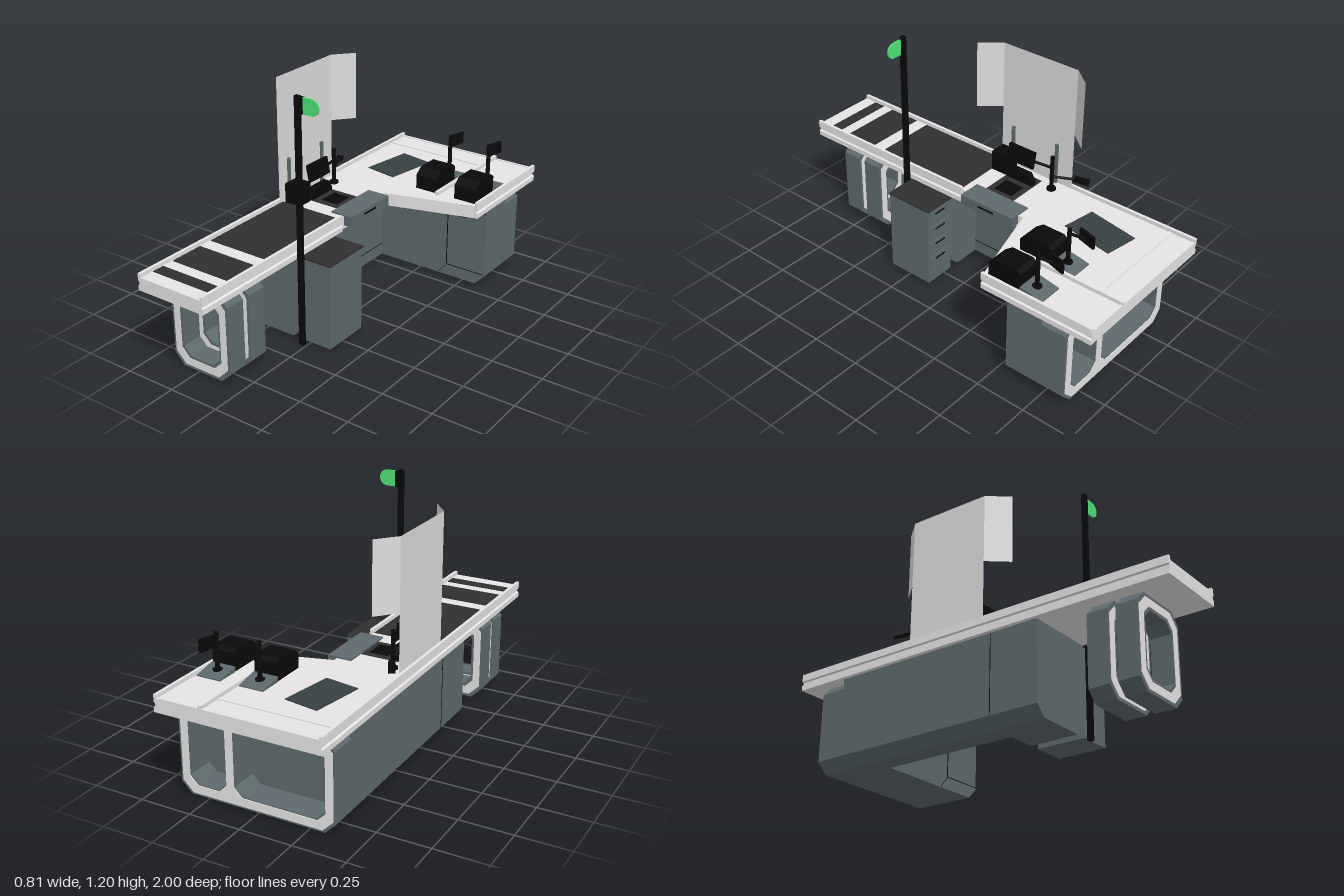
import * as THREE from 'three';

const mat = (name, color) => {
  const m = new THREE.MeshStandardMaterial({ color });
  m.name = name;
  return m;
};

export function createModel() {
  const model = new THREE.Group();
  model.name = 'checkoutCounter';
  const light = mat('lightGrey', 0xe6e4e4);
  const slate = mat('slate', 0x5d6a6d);
  const darkSlate = mat('darkSlate', 0x3a4447);
  const black = mat('black', 0x090909);
  const belt = mat('charcoal', 0x303030);
  const green = mat('green', 0x4fe277);
  const screenGrey = mat('screenGrey', 0xdcdcdc);
  screenGrey.side = THREE.DoubleSide;

  const add = (name, geo, m, parent = model) => {
    const mesh = new THREE.Mesh(geo, m);
    mesh.name = name;
    parent.add(mesh);
    return mesh;
  };
  // Box given by its limits on each axis
  const box = (name, m, x0, x1, y0, y1, z0, z1, parent) => {
    const b = add(name, new THREE.BoxGeometry(x1 - x0, y1 - y0, z1 - z0), m, parent);
    b.position.set((x0 + x1) / 2, (y0 + y1) / 2, (z0 + z1) / 2);
    return b;
  };
  // Round bar between two points
  const rod = (name, m, a, b, r, parent) => {
    const p = new THREE.Vector3(...a), d = new THREE.Vector3(...b).sub(p);
    const c = add(name, new THREE.CylinderGeometry(r, r, d.length(), 12), m, parent);
    c.position.copy(p).addScaledVector(d, 0.5);
    c.quaternion.setFromUnitVectors(new THREE.Vector3(0, 1, 0), d.normalize());
    return c;
  };
  const poly = pts => pts.map(p => new THREE.Vector2(...p));
  // Rectangle with cut corners: c at the bottom, t at the top
  const oct = (x0, x1, y0, y1, c, t = c) => {
    const pts = [[x0 + c, y0], [x1 - c, y0], [x1, y0 + c]];
    if (t) pts.push([x1, y1 - t], [x1 - t, y1], [x0 + t, y1], [x0, y1 - t]);
    else pts.push([x1, y1], [x0, y1]);
    pts.push([x0, y0 + c]);
    return poly(pts);
  };
  // Extrude an outline with holes along z
  const extrude = (pts, holes, z0, z1) => {
    const s = new THREE.Shape(pts);
    s.holes = holes.map(h => new THREE.Path(h));
    return new THREE.ExtrudeGeometry(s, { depth: z1 - z0, bevelEnabled: false }).translate(0, 0, z0);
  };

  // Counter top
  const top = extrude(poly([[-0.385, -1], [-0.05, -1], [-0.05, 0.305], [0.385, 0.43], [0.385, 1], [-0.385, 1]]), [], 0.437, 0.5);
  add('counterTop', top.rotateX(-Math.PI / 2), light);

  // Grooved side rails; s is the outward direction
  const rail = (name, x, s, z0, z1) => {
    const pts = [[0, 0.437], [0.015, 0.437], [0.015, 0.462], [0.007, 0.467], [0.007, 0.478], [0.015, 0.483], [0.015, 0.518], [0, 0.518]];
    const out = pts.map(([u, y]) => [x + s * u, y]);
    add(name, extrude(poly(s > 0 ? out : out.reverse()), [], z0, z1), light);
  };
  rail('leftRail', 0.385, 1, -1, -0.43);
  rail('rightRail', -0.385, -1, -1, 1);
  rail('conveyorRail', -0.052, 1, 0.05, 1);
  box('baggingDivider', light, 0.163, 0.18, 0.498, 0.518, -1, -0.43);
  box('baggingLip', light, -0.385, 0.163, 0.498, 0.504, -0.885, -0.868);
  box('backLip', light, -0.385, 0.385, 0.498, 0.504, -1, -0.988);

  // Conveyor belts
  for (const [z0, z1] of [[0.06, 0.57], [0.64, 0.81], [0.87, 0.93]])
    box('conveyorBelt', belt, -0.38, -0.057, 0.496, 0.503, z0, z1);

  // Ring pedestals below the conveyor
  const hole = oct(-0.318, -0.112, 0.075, 0.372, 0.04);
  for (const z of [0.602, 0.738]) {
    const leg = new THREE.Group();
    leg.name = 'ringPedestal';
    model.add(leg);
    add('pedestalShell', extrude(oct(-0.375, -0.055, 0.012, 0.437, 0.05), [hole], z, z + 0.1), slate, leg);
    for (const zf of [z - 0.002, z + 0.098])
      add('pedestalTrim', extrude(oct(-0.365, -0.068, 0.026, 0.422, 0.052), [oct(-0.33, -0.102, 0.063, 0.386, 0.042)], zf, zf + 0.004), light, leg);
  }

  // Base below the till and along the customer side
  add('conveyorBase', extrude(oct(-0.38, -0.04, 0.012, 0.44, 0.05, 0), [], 0.12, 0.36), slate);
  add('customerSideBase', extrude(poly([[-0.33, 0.012], [-0.23, 0.012], [-0.23, 0.44], [-0.38, 0.44], [-0.38, 0.062]]), [], -0.57, 0.12), slate);
  box('baseSeam', black, -0.3815, -0.38, 0.065, 0.44, 0.117, 0.12);
  box('toeSeam', black, -0.231, -0.2285, 0.073, 0.076, -0.56, 0.12);

  // Bagging cabinet with its front panel lines
  add('baggingCabinet', extrude(oct(-0.38, 0.38, 0.012, 0.44, 0.05, 0), [], -0.74, -0.56), slate);
  const zf = [-0.561, -0.558];
  box('doorSeam', black, 0.162, 0.166, 0.072, 0.437, ...zf);
  box('frontTopSeam', black, -0.22, 0.38, 0.403, 0.406, ...zf);
  box('frontToeSeam', black, 0.164, 0.378, 0.071, 0.074, ...zf);
  const cornerSeam = box('cornerSeam', black, 0.109, 0.174, 0.0415, 0.0435, ...zf);
  cornerSeam.rotation.z = 0.86;
  box('slotFrame', black, 0.211, 0.263, 0.356, 0.368, -0.561, -0.557);
  box('slotPlate', slate, 0.214, 0.26, 0.359, 0.364, -0.56, -0.556);

  // Framed end bays
  const bays = g => [oct(-0.33 - g, 0.105 + g, 0.065 - g, 0.39 + g, 0.04), oct(0.15 - g, 0.33 + g, 0.065 - g, 0.39 + g, 0.04)];
  add('endFrame', extrude(oct(-0.38, 0.38, 0.012, 0.44, 0.05), bays(0), -0.87, -0.74), slate);
  add('endFrameTrim', extrude(oct(-0.37, 0.37, 0.022, 0.43, 0.05), bays(0.004), -0.874, -0.868), light);

  // Drawer unit
  box('drawerUnit', slate, -0.04, 0.12, 0.012, 0.428, 0.12, 0.36);
  box('drawerUnitTop', belt, -0.04, 0.124, 0.428, 0.436, 0.11, 0.362);
  for (let i = 0; i < 4; i++) {
    const y = 0.08 + i * 0.086;
    box('drawerFront', slate, -0.03, 0.112, y, y + 0.08, 0.113, 0.12);
    box('drawerHandle', black, 0.01, 0.075, y + 0.058, y + 0.064, 0.11, 0.113);
  }

  // Cashier ledge and flat scanner
  box('cashierLedge', slate, -0.122, -0.005, 0.455, 0.507, -0.28, 0.022);
  box('ledgeSlot', black, -0.005, -0.002, 0.482, 0.49, -0.17, -0.08);
  box('scannerPlate', belt, -0.345, -0.125, 0.496, 0.503, -0.19, -0.03);
  box('scannerGlass', black, -0.24, -0.15, 0.498, 0.505, -0.16, -0.06);
  const tower = add('scannerTower', extrude(poly([[-0.075, 0.5], [0.075, 0.5], [0.075, 0.525], [0.052, 0.56], [-0.052, 0.56], [-0.075, 0.525]]), [], -0.015, 0.015), black);
  tower.rotation.y = Math.PI / 2;
  tower.position.set(-0.288, 0, -0.11);

  // Till printer, monitor and card reader
  box('tillPrinter', black, -0.365, -0.28, 0.5, 0.6, -0.025, 0.06);
  rod('tillPost', black, [-0.32, 0.5, -0.265], [-0.32, 0.68, -0.265], 0.01);
  rod('tillPostFoot', black, [-0.32, 0.5, -0.265], [-0.32, 0.512, -0.265], 0.022);
  rod('monitorArm', black, [-0.32, 0.62, -0.265], [-0.3, 0.625, -0.16], 0.007);
  const monitor = box('monitor', black, -0.302, -0.287, 0.592, 0.675, -0.18, -0.03);
  monitor.rotation.z = 0.2;
  rod('readerArm', black, [-0.32, 0.572, -0.265], [-0.372, 0.572, -0.37], 0.006);
  const reader = box('cardReader', black, -0.395, -0.365, 0.562, 0.58, -0.43, -0.355);
  reader.rotation.set(-0.2, 0.45, 0);

  // Protective screen with two angled wings
  const sheet = (name, x0, z0, x1, z1, y0, y1) => {
    const g = new THREE.PlaneGeometry(Math.hypot(x1 - x0, z1 - z0), y1 - y0);
    const m = add(name, g, screenGrey);
    m.position.set((x0 + x1) / 2, (y0 + y1) / 2, (z0 + z1) / 2);
    m.rotation.y = Math.atan2(z0 - z1, x1 - x0);
  };
  sheet('protectiveScreen', -0.385, 0.08, -0.385, -0.335, 0.5, 1.127);
  sheet('frontScreenWing', -0.385, 0.08, -0.305, 0.177, 0.793, 1.127);
  sheet('backScreenWing', -0.385, -0.335, -0.305, -0.43, 0.793, 1.127);
  for (const z of [0.01, -0.245]) box('screenBracket', slate, -0.384, -0.374, 0.5, 0.71, z - 0.008, z + 0.008);

  // Ribbed mat on the bagging table
  const ribbedMat = new THREE.Group();
  ribbedMat.name = 'ribbedMat';
  ribbedMat.position.set(-0.183, 0.5, -0.635);
  ribbedMat.rotation.y = -0.17;
  model.add(ribbedMat);
  box('matBase', belt, -0.086, 0.086, -0.002, 0.002, -0.134, 0.134, ribbedMat);
  for (let i = 0; i < 16; i++) {
    const z = -0.132 + i * 0.0167;
    box('matRib', darkSlate, -0.085, 0.085, 0, 0.004, z, z + 0.0125, ribbedMat);
  }

  // Two payment stations
  for (const x of [0.1, 0.316]) {
    const st = new THREE.Group();
    st.name = 'paymentStation';
    st.position.x = x;
    model.add(st);
    const base = extrude(poly([[0.62, 0.5], [0.735, 0.5], [0.735, 0.505], [0.62, 0.525]]), [], -0.06, 0.06);
    add('stationBase', base.rotateY(Math.PI / 2), slate, st);
    const body = extrude(poly([[0.45, 0.5], [0.62, 0.5], [0.62, 0.585], [0.6, 0.6], [0.49, 0.6], [0.45, 0.57]]), [], -0.057, 0.057);
    add('stationBody', body.rotateY(Math.PI / 2), black, st);
    rod('stationFoot', black, [0, 0.505, -0.665], [0, 0.521, -0.665], 0.022, st);
    rod('stationPost', black, [0, 0.505, -0.665], [0, 0.69, -0.665], 0.01, st);
    rod('displayArm', black, [0, 0.665, -0.665], [-0.01, 0.668, -0.74], 0.007, st);
    const display = box('display', black, -0.021, -0.009, 0.64, 0.698, -0.79, -0.7, st);
    display.rotation.y = -0.28;
  }

  // Lane pole and rounded sign
  box('lanePole', black, -0.036, -0.012, 0, 1.2, 0.37, 0.39);
  box('signBracket', black, -0.014, 0.001, 1.12, 1.195, 0.364, 0.382);
  const sign = new THREE.Shape();
  sign.moveTo(0, 1.12);
  sign.lineTo(0.045, 1.12);
  sign.absarc(0.045, 1.1575, 0.0375, -Math.PI / 2, Math.PI / 2, false);
  sign.lineTo(0, 1.195);
  add('laneSign', new THREE.ExtrudeGeometry(sign, { depth: 0.008, bevelEnabled: false }).translate(0, 0, 0.369), green);

  return model;
}
